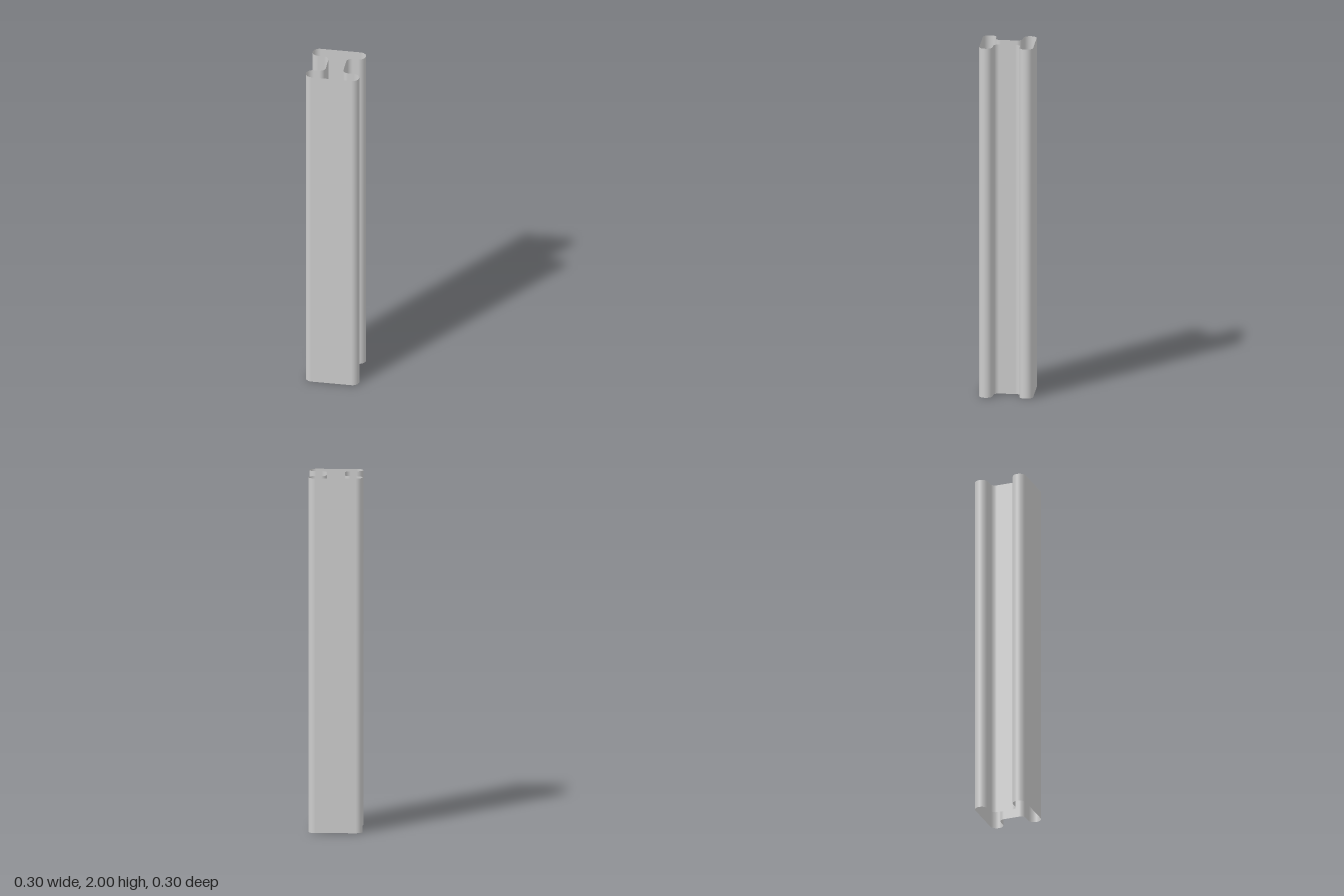
import * as THREE from 'three';

const HEIGHT = 2;
const TIP = 0.0375;   // radius of the rounded flange tips
const FILLET = 0.03;  // radius where web meets flange
const STEPS = 12;

// Right half of the H-shaped section, front to back, as arcs:
// [centre x, centre z, radius (negative = hollow), start angle, end angle]
const halfArcs = [
  [0.1125, 0.1125, TIP, 0, Math.PI],
  [0.08, 0.045, -FILLET, Math.PI, Math.PI / 2],
  [0.08, -0.045, -FILLET, Math.PI / 2, 0],
  [0.1125, -0.1125, TIP, 0, Math.PI],
];

// Closed outline with outward normals; the left half is the right half turned by 180 degrees
function sectionOutline() {
  const outline = [];
  for (const s of [1, -1]) {
    for (const [cx, cz, r, a0, a1] of halfArcs) {
      for (let i = 0; i <= STEPS; i++) {
        const a = a0 + (a1 - a0) * i / STEPS;
        const nx = Math.sin(a), nz = Math.cos(a);
        outline.push({ x: s * (cx + r * nx), z: s * (cz + r * nz), nx: s * nx, nz: s * nz });
      }
    }
  }
  return outline;
}

// Open-ended wall swept straight up along the outline
function sweptWall(outline, height) {
  const position = [], normal = [], index = [];
  const n = outline.length;
  outline.forEach((p, i) => {
    position.push(p.x, 0, p.z, p.x, height, p.z);
    normal.push(p.nx, 0, p.nz, p.nx, 0, p.nz);
    const a = 2 * i, b = 2 * ((i + 1) % n);
    index.push(a, b, b + 1, a, b + 1, a + 1);
  });
  const geometry = new THREE.BufferGeometry();
  geometry.setAttribute('position', new THREE.Float32BufferAttribute(position, 3));
  geometry.setAttribute('normal', new THREE.Float32BufferAttribute(normal, 3));
  geometry.setIndex(index);
  return geometry;
}

export function createModel() {
  const group = new THREE.Group();
  group.name = 'beam';
  const material = new THREE.MeshStandardMaterial({ color: 0xcccccc, side: THREE.DoubleSide });
  const wall = new THREE.Mesh(sweptWall(sectionOutline(), HEIGHT), material);
  wall.name = 'beamWall';
  group.add(wall);
  return group;
}
